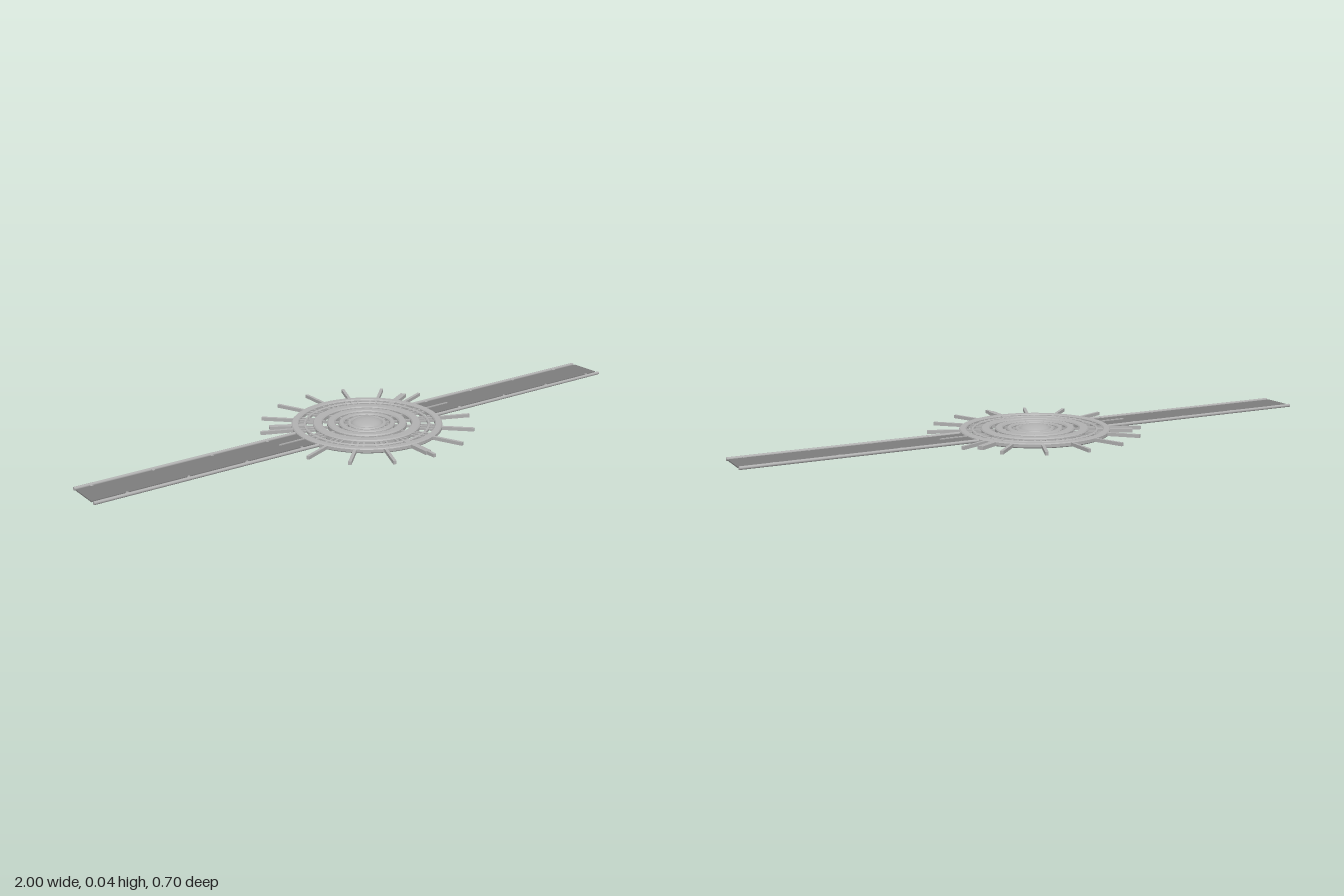
import * as THREE from 'three';

const Y = 0.02; // mid-plane height

export function createModel() {
  const hull = new THREE.MeshStandardMaterial({ color: 0xb0b0b0 });
  hull.name = 'light grey hull';
  const panel = new THREE.MeshStandardMaterial({ color: 0x7c7c7c });
  panel.name = 'dark grey panel';

  const station = new THREE.Group();
  station.name = 'station';

  const add = (parent, name, geometry, material) => {
    const mesh = new THREE.Mesh(geometry, material);
    mesh.name = name;
    parent.add(mesh);
    return mesh;
  };

  // Flat ring with bevelled rims, between two radii
  const ring = (name, inner, outer, height) => {
    const h = height / 2, b = Math.min(h, outer - inner) * 0.4;
    const profile = [
      [inner, -h + b], [inner + b, -h], [outer - b, -h], [outer, -h + b],
      [outer, h - b], [outer - b, h], [inner + b, h], [inner, h - b], [inner, -h + b],
    ].map(([r, y]) => new THREE.Vector2(r, y));
    const geometry = new THREE.LatheGeometry(profile, 64).toNonIndexed();
    geometry.computeVertexNormals();
    add(station, name, geometry, hull).position.y = Y;
  };

  // Radial bar from r0 to r1 at an angle
  const bar = (name, angle, r0, r1, width, height) => {
    const geometry = new THREE.BoxGeometry(r1 - r0, height, width);
    geometry.translate((r0 + r1) / 2, 0, 0);
    const mesh = add(station, name, geometry, hull);
    mesh.position.y = Y;
    mesh.rotation.y = angle;
  };

  // Lens-shaped hub
  const hub = add(station, 'hub', new THREE.SphereGeometry(0.052, 40, 20), hull);
  hub.scale.y = Y / 0.052;
  hub.position.y = Y;

  // Concentric decks
  ring('hubCollar', 0.05, 0.064, 0.016);
  ring('innerDeck', 0.074, 0.092, 0.018);
  ring('middleDeck', 0.103, 0.13, 0.02);
  ring('outerDeck', 0.145, 0.176, 0.018);
  ring('innerRimRail', 0.198, 0.207, 0.012);
  ring('outerRim', 0.222, 0.246, 0.016);

  // Spokes, tying the decks together and reaching past the rim
  for (let i = 0; i < 16; i++) {
    const angle = (i * Math.PI) / 8;
    const alongWing = i % 8 === 0;
    bar('deckStrut', angle, 0.04, 0.23, 0.007, 0.008);
    bar('spoke', angle, 0.23, alongWing ? 0.34 : 0.35, alongWing ? 0.004 : 0.01, 0.011);
  }

  // Short lattice struts between rim and rail
  for (let i = 0; i < 32; i++) {
    bar('rimStrut', ((i + 0.5) * Math.PI) / 16, 0.17, 0.23, 0.006, 0.007);
  }

  // Three thick docking arms
  for (let i = 0; i < 3; i++) {
    bar('dockingArm', Math.PI / 6 + (i * 2 * Math.PI) / 3, 0.2, 0.318, 0.02, 0.012);
  }

  // Two long wings, the second turned half round
  for (const turn of [0, Math.PI]) {
    const wing = new THREE.Group();
    wing.name = 'wing';
    wing.position.y = Y;
    wing.rotation.y = turn;
    station.add(wing);

    const start = 0.225, length = 1 - start, mid = start + length / 2;
    add(wing, 'wingPanel', new THREE.BoxGeometry(length, 0.004, 0.102), panel)
      .position.x = mid;

    for (const side of [-1, 1]) {
      const rail = add(wing, 'wingRail',
        new THREE.CylinderGeometry(0.0055, 0.0055, length, 10), hull);
      rail.rotation.z = Math.PI / 2;
      rail.position.set(mid, 0, side * 0.065);

      // Clips holding the panel to the rail
      for (let i = 0; i < 4; i++) {
        add(wing, 'railClip', new THREE.BoxGeometry(0.008, 0.005, 0.014), hull)
          .position.set(0.32 + i * 0.2 + side * 0.03, 0, side * 0.056);
      }
    }

    // Thin ribs under the panel
    for (let i = 0; i < 24; i++) {
      add(wing, 'panelRib', new THREE.BoxGeometry(0.003, 0.002, 0.102), panel)
        .position.set(start + ((i + 0.5) * length) / 24, -0.003, 0);
    }
  }

  return station;
}
